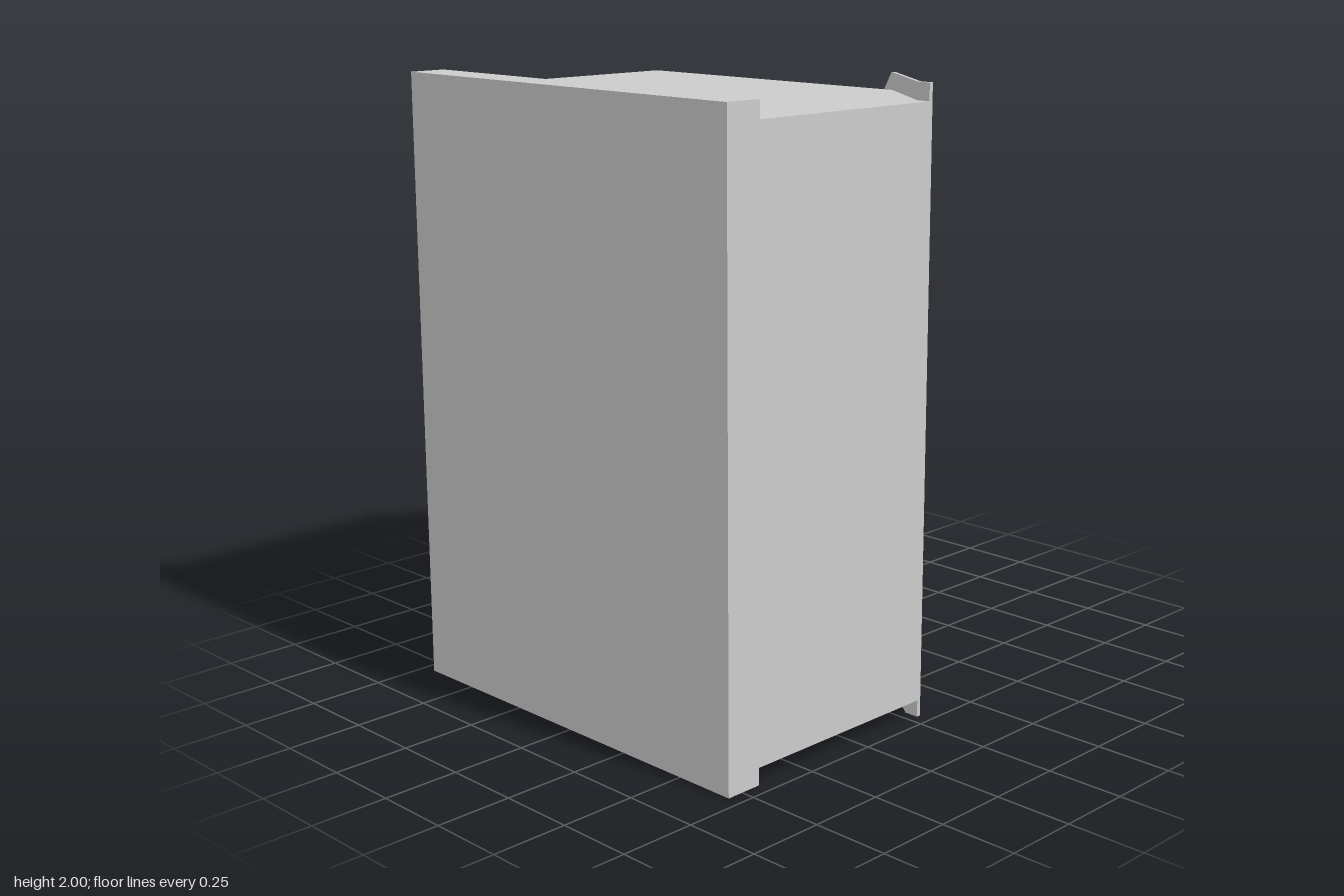
import * as THREE from 'three';
import { toCreasedNormals } from 'three/addons/utils/BufferGeometryUtils.js';

const HEIGHT = 2, BACK = -0.705, FRONT = 0.705;
const SHEET = 0.012;                              // thickness of the slanted plate
const SLOPE = new THREE.Vector2(0.755, -1.01);    // plate direction in x, z
const INNER = { x: 0.04, z: 0.653 };              // inner corner where the plate starts

const slantZ = x => INNER.z + (x - INNER.x) * SLOPE.y / SLOPE.x;

// Points along a softly rounded bend from a to b around corner c
function bend(a, c, b, steps = 6) {
  return new THREE.QuadraticBezierCurve(
    new THREE.Vector2(...a), new THREE.Vector2(...c), new THREE.Vector2(...b)
  ).getPoints(steps);
}

// Skin rectangular cross-sections [x, top y, front z] along x
function loft(sections) {
  const rings = sections.map(([x, top, front]) => [
    new THREE.Vector3(x, top, BACK), new THREE.Vector3(x, top, front),
    new THREE.Vector3(x, HEIGHT - top, front), new THREE.Vector3(x, HEIGHT - top, BACK),
  ]);
  const points = [];
  const tri = (...t) => {
    if (new THREE.Triangle(...t).getArea() > 1e-7) points.push(...t);
  };
  const quad = (a, b, c, d) => { tri(a, b, c); tri(a, c, d); };
  for (let i = 0; i < rings.length - 1; i++) {
    for (let k = 0; k < 4; k++) {
      const n = (k + 1) % 4;
      quad(rings[i][k], rings[i][n], rings[i + 1][n], rings[i + 1][k]);
    }
  }
  quad(...[...rings[0]].reverse());
  quad(...rings[rings.length - 1]);
  return toCreasedNormals(new THREE.BufferGeometry().setFromPoints(points), Math.PI / 7);
}

export function createModel() {
  const group = new THREE.Group();
  const material = new THREE.MeshStandardMaterial({ color: 0xcccccc });
  const add = (name, geometry) => {
    const mesh = new THREE.Mesh(geometry, material);
    mesh.name = name;
    group.add(mesh);
    return mesh;
  };

  // Body: raised side flange, flat top, bevel, and flat side, cut by the slant
  const bevel = [
    ...bend([0.24, 1.945], [0.26, 1.945], [0.275, 1.93]),
    ...bend([0.74, 1.465], [0.76, 1.445], [0.76, 1.417]),
  ];
  add('body', loft([
    [-0.805, HEIGHT, FRONT],
    [-0.68, HEIGHT, FRONT],
    [-0.68, 1.945, FRONT],
    [INNER.x, 1.945, FRONT],
    [INNER.x, 1.945, INNER.z],
    ...bevel.map(p => [p.x, p.y, slantZ(p.x)]),
  ]));

  // Slanted plate, cut to a trapezoid with slightly rounded outer corners
  const length = SLOPE.length(), shoulder = 0.352;
  const shape = new THREE.Shape();
  shape.moveTo(0, 0);
  shape.lineTo(shoulder, 0);
  shape.lineTo(length - 0.02, 0.53);
  shape.quadraticCurveTo(length, 0.545, length, 0.57);
  shape.lineTo(length, HEIGHT - 0.57);
  shape.quadraticCurveTo(length, HEIGHT - 0.545, length - 0.02, HEIGHT - 0.53);
  shape.lineTo(shoulder, HEIGHT);
  shape.lineTo(0, HEIGHT);
  shape.closePath();
  const plate = add('slantedPlate', new THREE.ExtrudeGeometry(shape, {
    depth: SHEET, bevelEnabled: false, curveSegments: 5,
  }));
  plate.position.set(INNER.x, 0, INNER.z);
  plate.rotation.y = Math.atan2(-SLOPE.y, SLOPE.x);

  // Narrow folded lip along the front edge of the plate
  const lip = add('plateLip', new THREE.BoxGeometry(0.014, HEIGHT, FRONT - 0.655));
  lip.position.set(0.043, HEIGHT / 2, (FRONT + 0.655) / 2);

  return group;
}
